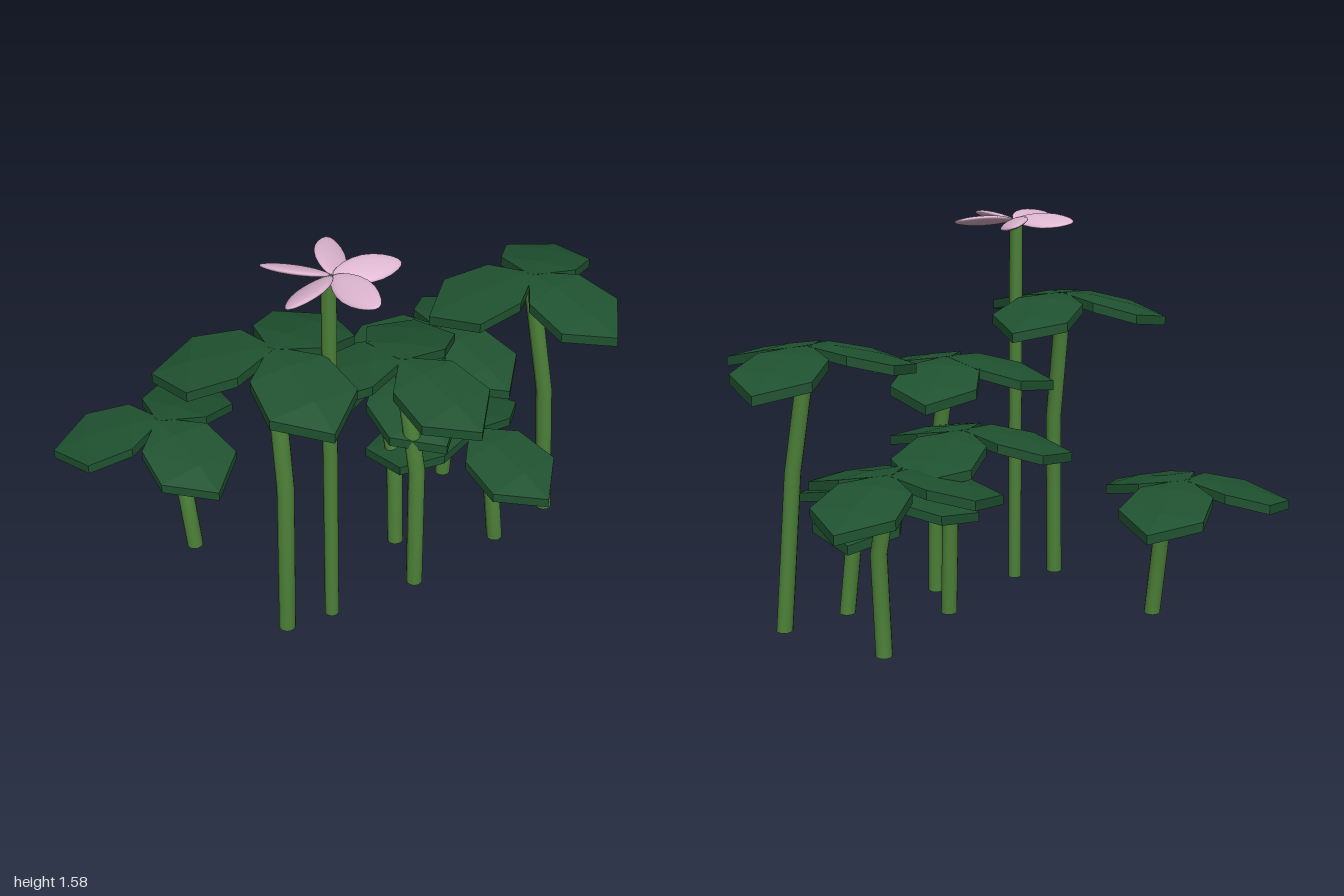
import * as THREE from 'three';

const stemGreen = new THREE.MeshStandardMaterial({ color: 0x4c8038 });
stemGreen.name = 'stem green';
const leafGreen = new THREE.MeshStandardMaterial({ color: 0x1f5230 });
leafGreen.name = 'leaf green';
const petalPink = new THREE.MeshStandardMaterial({ color: 0xdcb4cf });
petalPink.name = 'petal pink';

function add(parent, name, geometry, material) {
  const mesh = new THREE.Mesh(geometry, material);
  mesh.name = name;
  parent.add(mesh);
  return mesh;
}

// Drooping six-cornered leaf slab along +x, its base at the origin
function leafGeometry() {
  const along = [0, 0.115, 0.29, 0.425];
  const halfWidth = [0.015, 0.15, 0.172, 0];
  const midDrop = [0, 0.008, 0.05, 0.1];
  const sideDrop = [0, 0.018, 0.062, 0.1];
  const geo = new THREE.BoxGeometry(3, 1, 2, 3, 1, 2);
  const p = geo.attributes.position;
  for (let i = 0; i < p.count; i++) {
    const s = Math.round(p.getX(i) + 1.5);
    const side = p.getZ(i);
    const drop = Math.abs(side) > 0.5 ? sideDrop[s] : midDrop[s];
    p.setXYZ(i, along[s], (p.getY(i) > 0 ? 0 : -0.038) - drop, side * halfWidth[s]);
  }
  const flat = geo.toNonIndexed();
  flat.computeVertexNormals();
  return flat;
}

// Stem through three points: foot, bend and top
function stemGeometry(points, radius) {
  const geo = new THREE.CylinderGeometry(radius, radius, 2, 14, 2);
  const p = geo.attributes.position;
  for (let i = 0; i < p.count; i++) {
    const [x, y, z] = points[Math.round(p.getY(i) + 1)];
    p.setXYZ(i, p.getX(i) + x, y, p.getZ(i) + z);
  }
  geo.computeVertexNormals();
  return geo;
}

// Thin petal along +x, pinched at both ends and rolled like a propeller blade
function petalGeometry() {
  const geo = new THREE.SphereGeometry(1, 20, 14);
  const p = geo.attributes.position;
  for (let i = 0; i < p.count; i++) {
    const x = p.getX(i);
    p.setXYZ(i, x * 0.125, p.getY(i) * 0.015, p.getZ(i) * 0.06 * (1 - 0.25 * x * x));
  }
  geo.computeVertexNormals();
  geo.rotateX(0.38);
  geo.translate(0.13, 0, 0);
  return geo;
}

export function createModel() {
  const model = new THREE.Group();
  model.name = 'leafyPlants';
  const leaf = leafGeometry();

  // top: centre of the leaves; foot and bend: [x, z]; yaw and spread in degrees
  const plants = [
    { top: [-0.44, 0.6, 0.635], foot: [-0.31, 0.59], bend: [-0.33, 0.61], yaw: -1, spread: 118 },
    { top: [0.235, 1.265, 0.545], foot: [0.315, 0.575], bend: [0.325, 0.57], yaw: -7, spread: 120 },
    { top: [0.325, 1.045, 0.025], foot: [0.425, 0.02], bend: [0.425, 0.025], yaw: 3, spread: 130 },
    { top: [0.08, 0.805, -0.07], foot: [0.185, -0.08], bend: [0.17, -0.08], yaw: -2, spread: 120 },
    { top: [-0.09, 0.745, -0.53], foot: [-0.035, -0.535], bend: [-0.01, -0.535], yaw: 2, spread: 118 },
    { top: [0.34, 0.555, -0.34], foot: [0.425, -0.42], bend: [0.42, -0.385], yaw: 3, spread: 132 },
    { top: [0.33, 1.17, -0.62], foot: [0.41, -0.72], bend: [0.41, -0.66], yaw: 7, spread: 115 },
  ];
  for (const { top: [x, y, z], foot, bend, yaw, spread } of plants) {
    const plant = new THREE.Group();
    plant.name = 'trefoilPlant';
    model.add(plant);
    const path = [[foot[0], 0.01, foot[1]], [bend[0], y * 0.56, bend[1]], [x, y - 0.02, z]];
    add(plant, 'stem', stemGeometry(path, 0.033), stemGreen);
    for (const angle of [0, spread, -spread]) {
      const mesh = add(plant, 'leaf', leaf, leafGreen);
      mesh.position.set(x, y, z);
      mesh.rotation.y = THREE.MathUtils.degToRad(yaw + angle);
    }
  }

  // Flower on a straight stem
  const flower = new THREE.Group();
  flower.name = 'flower';
  model.add(flower);
  const stem = [[0.36, 0.01, 0.39], [0.36, 0.8, 0.39], [0.36, 1.56, 0.39]];
  add(flower, 'flowerStem', stemGeometry(stem, 0.028), stemGreen);
  const petal = petalGeometry();
  for (let i = 0; i < 5; i++) {
    const mesh = add(flower, 'petal', petal, petalPink);
    mesh.position.set(0.37, 1.565, 0.385);
    mesh.rotation.y = (i * Math.PI * 2) / 5;
  }
  return model;
}
